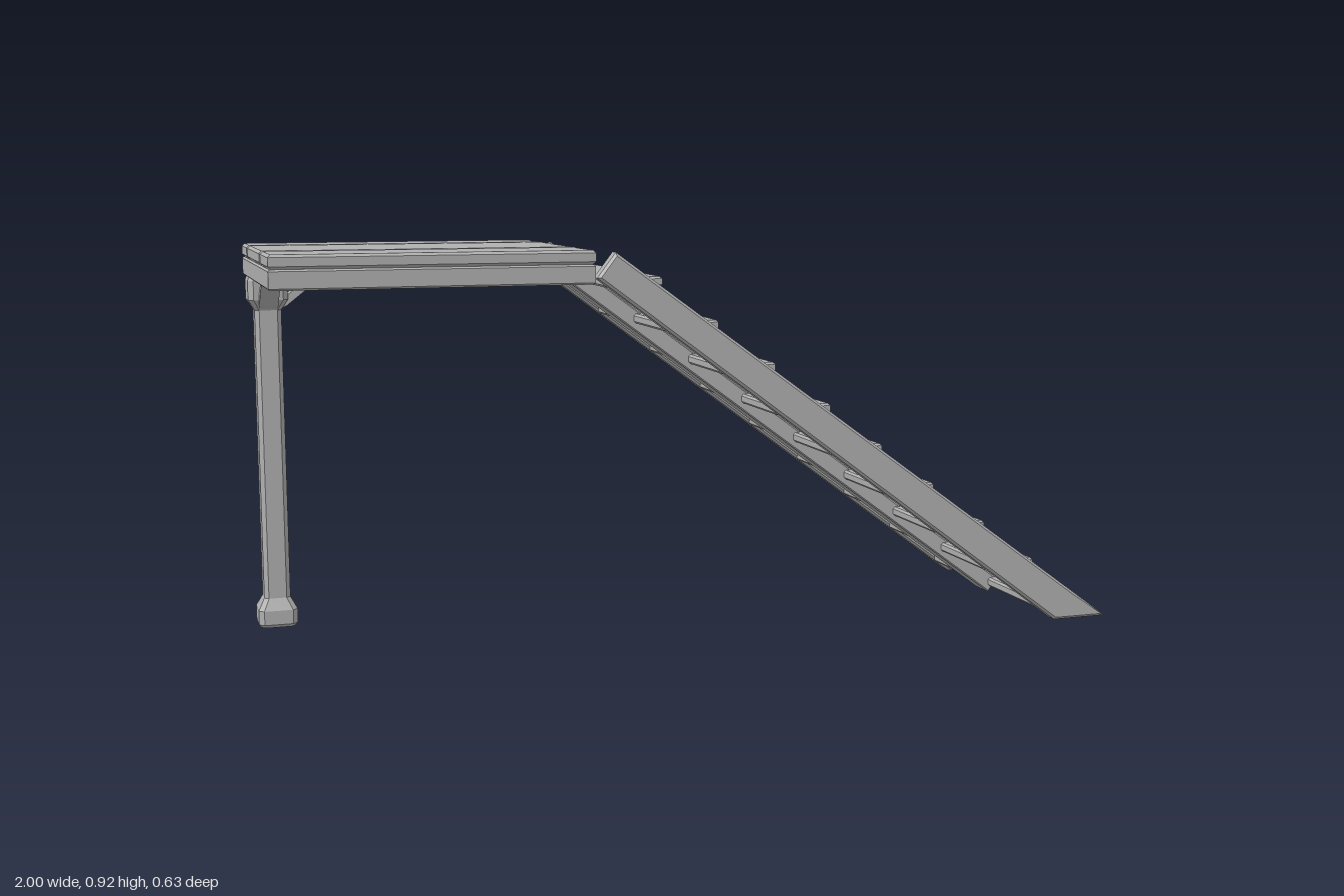
import * as THREE from 'three';

const wood = new THREE.MeshStandardMaterial({ color: 0xb0b0b0 });
wood.name = 'plain wood';

// Small seeded generator for worn board edges
let seed = 7;
const wobble = (amount) => {
  seed = (seed * 16807) % 2147483647;
  return (seed / 2147483647 - 0.5) * 2 * amount;
};

function add(group, name, geometry) {
  const mesh = new THREE.Mesh(geometry, wood);
  mesh.name = name;
  group.add(mesh);
  return mesh;
}

// Solid with chamfered edges, extruded along z from z0 to z1
function slab(points, z0, z1, bevel) {
  const shape = new THREE.Shape(points.map(([x, y]) => new THREE.Vector2(x, y)));
  return new THREE.ExtrudeGeometry(shape, {
    depth: z1 - z0 - 2 * bevel, bevelEnabled: bevel > 0, bevelSegments: 1,
    bevelSize: bevel, bevelThickness: bevel, bevelOffset: -bevel,
  }).translate(0, 0, z0 + bevel);
}

// Horizontal board whose +x edge is slightly worn
function board(x0, x1, z0, z1, y0, y1, bevel, wear) {
  const points = [[x0, -z1]];
  const steps = 4;
  for (let i = 0; i <= steps; i++) {
    points.push([x1 - Math.abs(wobble(wear)), -z1 + (z1 - z0) * i / steps]);
  }
  points.push([x0, -z0]);
  return slab(points, y0, y1, bevel).rotateX(-Math.PI / 2);
}

// Square post with chamfered corners, lofted through [y, half width, chamfer]
function loftPost(rings) {
  const section = ([y, h, c]) => [
    [h, h - c], [h - c, h], [c - h, h], [-h, h - c],
    [-h, c - h], [c - h, -h], [h - c, -h], [h, c - h],
  ].map(([x, z]) => [x, y, z]);
  const loops = rings.map(section);
  const pos = [];
  const tri = (a, b, c) => pos.push(...a, ...b, ...c);
  for (let r = 0; r < loops.length - 1; r++) {
    for (let i = 0; i < 8; i++) {
      const j = (i + 1) % 8;
      const [a, b, c, d] = [loops[r][i], loops[r][j], loops[r + 1][j], loops[r + 1][i]];
      tri(a, c, b);
      tri(a, d, c);
    }
  }
  const low = loops[0], high = loops[loops.length - 1];
  for (let i = 1; i < 7; i++) {
    tri(low[0], low[i], low[i + 1]);
    tri(high[0], high[i + 1], high[i]);
  }
  const geometry = new THREE.BufferGeometry();
  geometry.setAttribute('position', new THREE.Float32BufferAttribute(pos, 3));
  geometry.computeVertexNormals();
  return geometry;
}

function buildPlatform() {
  const group = new THREE.Group();
  group.name = 'platform';
  add(group, 'platformBase', board(-1, -0.3, -0.31, 0.31, 0.845, 0.889, 0.004, 0));
  const rows = [[0.143, 0.31], [-0.163, 0.123], [-0.31, -0.182]];
  for (const [z0, z1] of rows) {
    add(group, 'platformPlank', board(-1, -0.298, z0, z1, 0.889, 0.92, 0.006, 0.01));
  }
  return group;
}

function buildSupport() {
  const group = new THREE.Group();
  group.name = 'support';
  add(group, 'post', loftPost([
    [0, 0.04, 0.01], [0.008, 0.046, 0.012], [0.042, 0.046, 0.012], [0.07, 0.031, 0.01],
    [0.765, 0.031, 0.01], [0.79, 0.046, 0.012], [0.835, 0.046, 0.012], [0.846, 0.042, 0.01],
  ]));
  // Two thin braces, one along x and one along z
  const profile = [[0.025, 0.765], [0.045, 0.775], [0.135, 0.846], [0.11, 0.846], [0.025, 0.785]];
  for (const angle of [0, -Math.PI / 2]) {
    add(group, 'brace', slab(profile, -0.022, 0.022, 0)).rotation.y = angle;
  }
  group.position.set(-0.951, 0, -0.262);
  return group;
}

function buildStairs() {
  const group = new THREE.Group();
  group.name = 'stairs';

  // Side rails, cut flat at the ground
  const rail = [[-0.293, 0.858], [0.865, 0], [1, 0], [1, 0.004], [-0.25, 0.914]];
  for (const [z0, z1] of [[0.261, 0.3], [-0.316, -0.277]]) {
    add(group, 'sideRail', slab(rail, z0, z1, 0.006));
  }

  // Centre beam under the treads
  const beam = [[-0.292, 0.837], [0.823, 0.013], [0.848, 0.047], [-0.267, 0.871]];
  add(group, 'centreBeam', slab(beam, -0.039, 0.033, 0.003));

  // Nine level treads
  for (let i = 0; i < 9; i++) {
    const x = 0.957 - i * 0.136;
    const y = 0.028 + i * 0.1008;
    add(group, 'tread', board(x - 0.136, x, -0.278, 0.264, y, y + 0.023, 0.005, 0.008));
  }
  return group;
}

export function createModel() {
  seed = 7;
  const model = new THREE.Group();
  model.name = 'stairsWithPlatform';
  model.add(buildPlatform(), buildSupport(), buildStairs());
  return model;
}
